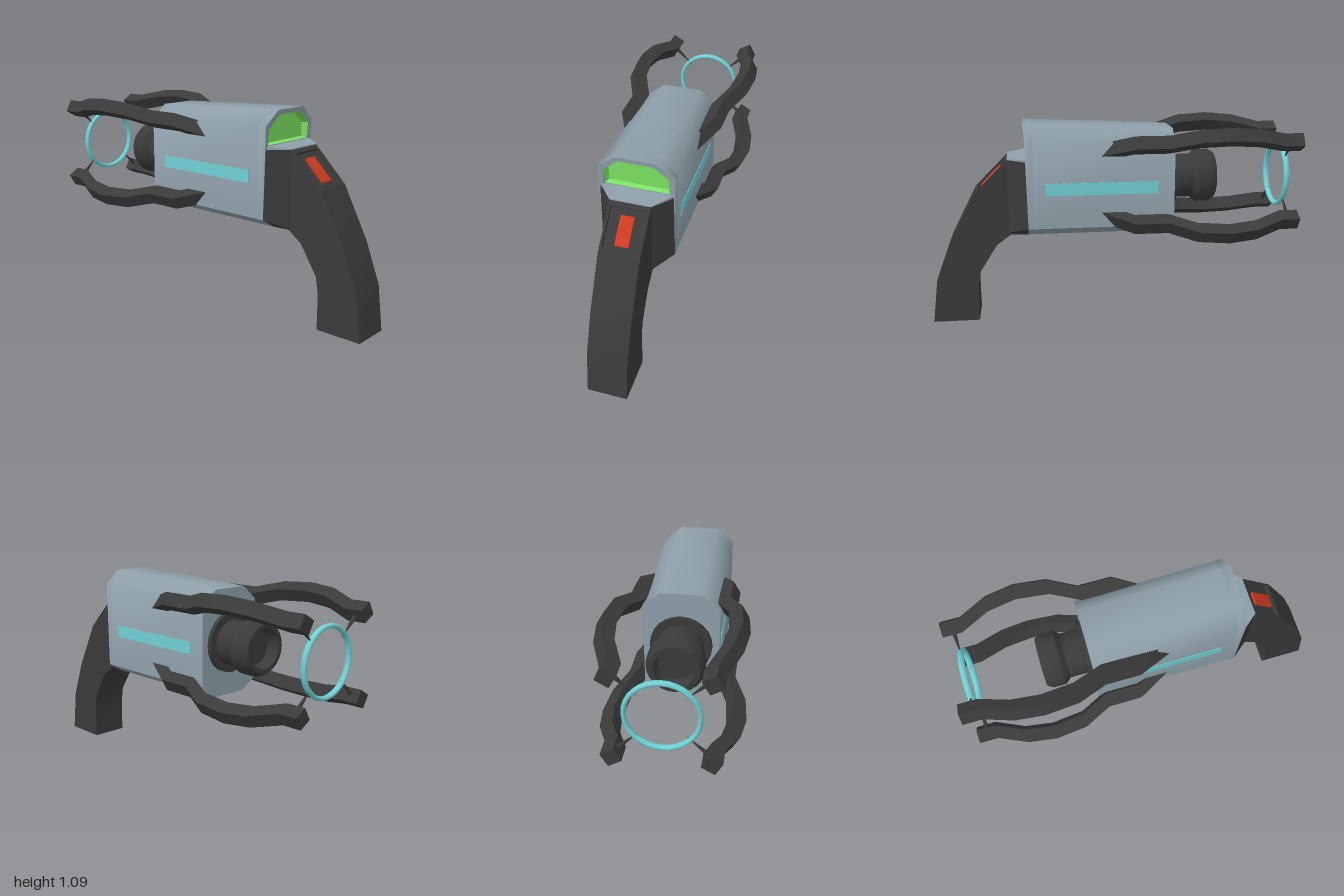
import * as THREE from 'three';
import { toCreasedNormals } from 'three/addons/utils/BufferGeometryUtils.js';

const AXIS_Y = 0.772; // height of the barrel axis
const mat = (color, side = THREE.FrontSide) => new THREE.MeshStandardMaterial({ color, side });
const shell = mat(0x8e9fa9), dark = mat(0x3a3a3a), darkOpen = mat(0x3a3a3a, THREE.DoubleSide);
const cyan = mat(0x6fd0d4), green = mat(0x7be060, THREE.DoubleSide), red = mat(0xcc3a20);

function mesh(name, geometry, material, parent) {
  const m = new THREE.Mesh(geometry, material);
  m.name = name;
  parent.add(m);
  return m;
}

// Skin through cross-sections running along +x, each counter-clockwise in (y, z)
function loft(sections, crease = 0.7, startCap = true) {
  const n = sections[0].length, pos = sections.flat(2), idx = [];
  for (let i = 0; i < sections.length - 1; i++) {
    for (let j = 0; j < n; j++) {
      const a = i * n + j, b = i * n + (j + 1) % n;
      idx.push(a, b, b + n, a, b + n, a + n);
    }
  }
  const last = (sections.length - 1) * n;
  for (let j = 1; j < n - 1; j++) {
    if (startCap) idx.push(0, j + 1, j);
    idx.push(last, last + j, last + j + 1);
  }
  const g = new THREE.BufferGeometry();
  g.setAttribute('position', new THREE.Float32BufferAttribute(pos, 3));
  g.setIndex(idx);
  return toCreasedNormals(g, crease);
}

// Outline symmetric about z = 0 from its +z half, given as [z, y] from bottom to top
const mirrored = (half) => [...half, ...half.map(([z, y]) => [-z, y]).reverse()];
const toShape = (pts) => new THREE.Shape(pts.map(([z, y]) => new THREE.Vector2(z, y)));
const atX = (x, pts) => pts.map(([z, y]) => [x, y, z]).reverse();

const bodyOutline = mirrored([[0.105, 0.487], [0.195, 0.54], [0.195, 1.015], [0.105, 1.09]]);
const screenOutline = mirrored([[0.166, 0.917], [0.166, 1.0], [0.09, 1.066]]);

// Slice of the body from x0 to x1; the roof rises to the rear, the rear lip leans out
function bodySlice(x0, x1, hole) {
  const shape = toShape(bodyOutline);
  if (hole) shape.holes.push(new THREE.Path(hole.map(([z, y]) => new THREE.Vector2(z, y))));
  const g = new THREE.ExtrudeGeometry(shape, { depth: x1 - x0, bevelEnabled: false });
  g.rotateY(Math.PI / 2).translate(x0, 0, 0);
  const p = g.attributes.position;
  for (let i = 0; i < p.count; i++) {
    const x = p.getX(i), y = p.getY(i);
    if (y > 0.9) p.setY(i, y - 0.035 * (0.48 - x) / 0.8 * (y > 1.01 ? 1 : 0));
    if (hole && x > x1 - 0.001) p.setX(i, x + 0.1 * Math.max(0, y - 0.92));
  }
  return toCreasedNormals(g, 1.0);
}

function buildBody(root) {
  const body = new THREE.Group();
  body.name = 'body';
  root.add(body);
  mesh('casing', bodySlice(-0.32, 0.435), shell, body);
  mesh('rearCasing', bodySlice(0.435, 0.466, screenOutline), shell, body);
  // recessed screen with sloping walls
  const inner = screenOutline.map(([z, y]) => [z * 0.92, 0.985 + (y - 0.985) * 0.88]);
  const rim = atX(0.466, screenOutline).map(([x, y, z]) => [x + 0.1 * Math.max(0, y - 0.93), y, z]);
  mesh('screen', loft([rim, atX(0.442, inner)], 0.3, false), green, body);
  // tapered collar behind the casing, with a light shelf on top
  mesh('collar', loft([
    atX(0.466, mirrored([[0.105, 0.487], [0.195, 0.54], [0.195, 0.9]])),
    atX(0.57, mirrored([[0.1, 0.487], [0.105, 0.5], [0.105, 0.9]])),
  ], 0.3), dark, body);
  mesh('shelf', loft([
    atX(0.46, mirrored([[0.195, 0.899], [0.195, 0.914]])),
    atX(0.57, mirrored([[0.105, 0.897], [0.105, 0.905]])),
  ], 0.3), shell, body);
  for (const s of [1, -1]) {
    mesh('sideStrip', new THREE.BoxGeometry(0.6, 0.065, 0.006), cyan, body).position.set(0.07, 0.752, s * 0.195);
  }
}

function buildHandle(root) {
  const handle = new THREE.Group();
  handle.name = 'handle';
  root.add(handle);
  // back x, y and front x, y of each section, from collar to base
  const rows = [
    [0.557, 0.887, 0.56, 0.49], [0.737, 0.707, 0.632, 0.437], [0.75, 0.72, 0.64, 0.43],
    [0.89, 0.45, 0.735, 0.28], [0.97, 0.24, 0.75, 0.19], [1, 0, 0.75, 0],
  ];
  const w = 0.105;
  mesh('grip', loft(rows.map(([bx, by, fx, fy]) =>
    [[fx, fy, -w], [bx, by, -w], [bx, by, w], [fx, fy, w]])), dark, handle);

  // button set into a frame on the sloping top of the grip
  const trigger = new THREE.Group();
  trigger.name = 'buttonPanel';
  trigger.position.set(0.66, 0.81, 0);
  trigger.rotation.z = -Math.PI / 4;
  handle.add(trigger);
  const rect = (a, b) => [[-a, -b], [a, -b], [a, b], [-a, b]].map(([x, y]) => new THREE.Vector2(x, y));
  const frame = new THREE.Shape(rect(0.127, w));
  frame.holes.push(new THREE.Path(rect(0.103, 0.093)));
  const fg = new THREE.ExtrudeGeometry(frame, { depth: 0.019, bevelEnabled: false });
  mesh('buttonFrame', fg.rotateX(-Math.PI / 2).translate(0, -0.019, 0), dark, trigger);
  mesh('button', new THREE.BoxGeometry(0.15, 0.014, 0.07), red, trigger).position.set(0.008, -0.013, 0);
}

function buildNozzle(root) {
  // [radius, distance forward] profile turned round the barrel axis
  const profile = [
    [0.16, 0.31], [0.16, 0.343], [0.12, 0.343], [0.12, 0.44], [0.147, 0.47], [0.147, 0.54],
    [0.128, 0.57], [0.105, 0.57], [0.095, 0.5], [0, 0.5],
  ].map(([r, d]) => new THREE.Vector2(r, d));
  const g = toCreasedNormals(new THREE.LatheGeometry(profile, 24), 0.6).rotateZ(Math.PI / 2);
  mesh('nozzle', g, darkOpen, root).position.y = AXIS_Y;
}

function buildArms(root) {
  // [x, distance out] along one arm
  const path = [
    [-1, 0.306], [-0.9, 0.306], [-0.75, 0.375], [-0.6, 0.398],
    [-0.43, 0.38], [-0.28, 0.306], [-0.1, 0.306], [0.07, 0.21],
  ];
  const h = 0.0365;
  const pinAngle = Math.atan2(0.23, 0.213);
  for (const sy of [1, -1]) {
    for (const sz of [1, -1]) {
      const turn = (a) => sz * (sy > 0 ? a : Math.PI - a);
      const v = -0.07 * sy * sz;
      const arm = new THREE.Group();
      arm.name = 'arm';
      arm.position.y = AXIS_Y;
      arm.rotation.x = turn(Math.PI / 3);
      root.add(arm);
      mesh('armBar', loft(path.map(([x, u]) => [
        [x, u - h, v - h], [x, u + h, v - h], [x, u + h, v + h], [x, u - h, v + h],
      ])), dark, arm);
      // pin holding the ring
      const pin = new THREE.ConeGeometry(0.013, 0.14, 6).rotateX(Math.PI).translate(-0.947, 0.215, 0);
      const p = mesh('ringPin', pin, dark, root);
      p.position.y = AXIS_Y;
      p.rotation.x = turn(pinAngle);
    }
  }
  const ring = new THREE.TorusGeometry(0.173, 0.012, 8, 32).scale(1, 1, 1.4).rotateY(Math.PI / 2);
  mesh('ring', ring, cyan, root).position.set(-0.947, AXIS_Y, 0);
}

export function createModel() {
  const root = new THREE.Group();
  root.name = 'handheldDevice';
  buildBody(root);
  buildHandle(root);
  buildNozzle(root);
  buildArms(root);
  return root;
}
